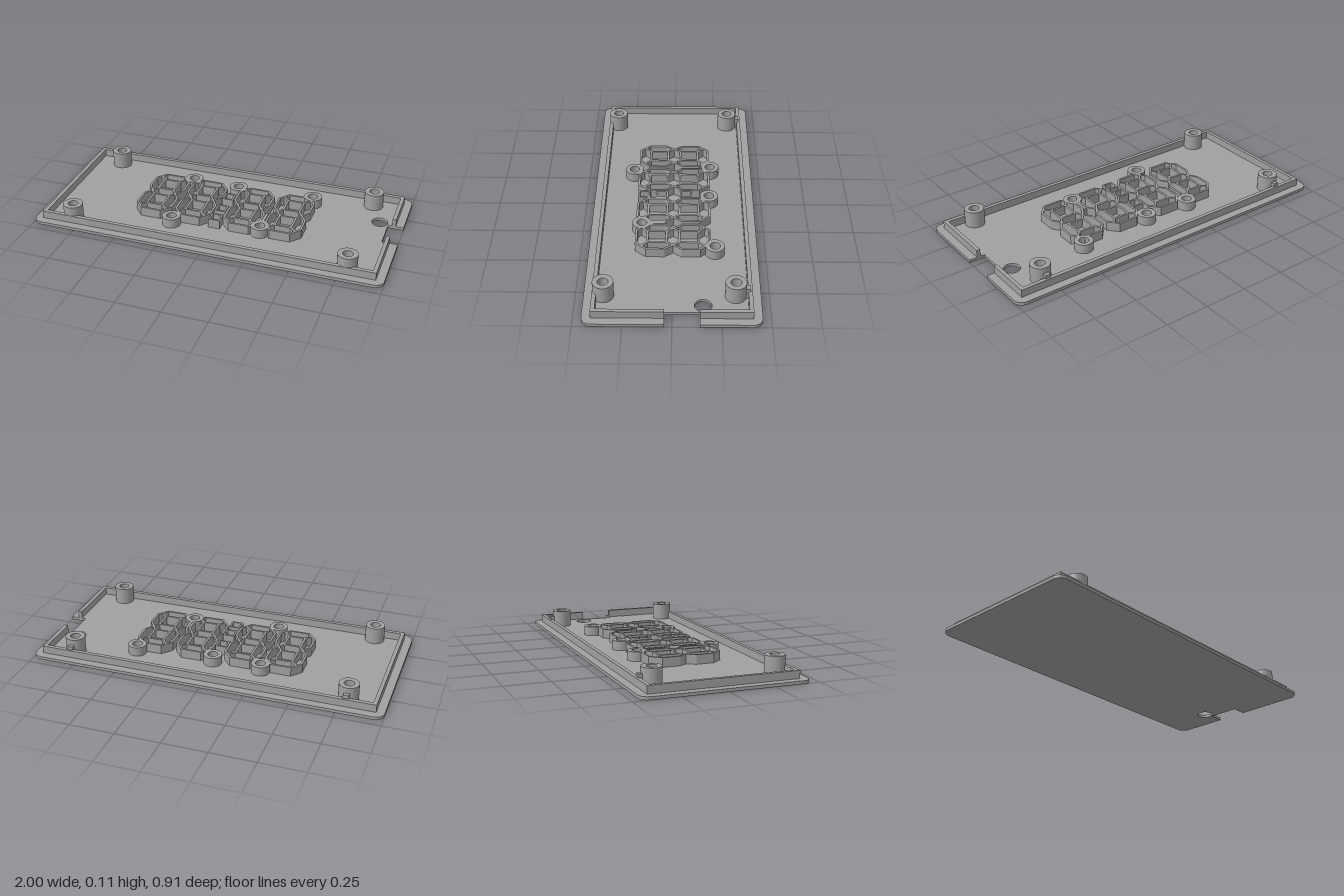
import * as THREE from 'three';

const V = (x, y) => new THREE.Vector2(x, y);
const BASE = 0.017; // top of the base plate

// Flat outline in (x, z), extruded upwards from y0 to y1
function slab(name, shape, y0, y1, material) {
  const geo = new THREE.ExtrudeGeometry(shape, { depth: y1 - y0, bevelEnabled: false, curveSegments: 16 });
  geo.rotateX(Math.PI / 2).translate(0, y1, 0);
  const mesh = new THREE.Mesh(geo, material);
  mesh.name = name;
  return mesh;
}

// Moves every edge of a polygon inwards by d (outwards if negative)
function inset(points, d) {
  const s = Math.sign(THREE.ShapeUtils.area(points));
  const n = points.length;
  const normal = (a, b) => V(a.y - b.y, b.x - a.x).normalize().multiplyScalar(s);
  return points.map((p, i) => {
    const n1 = normal(points[(i + n - 1) % n], p);
    const n2 = normal(p, points[(i + 1) % n]);
    return p.clone().addScaledVector(n1.clone().add(n2), d / (1 + n1.dot(n2)));
  });
}

function rect(x0, z0, x1, z1) {
  return [V(x0, z0), V(x1, z0), V(x1, z1), V(x0, z1)];
}

function circlePath(x, z, r) {
  return new THREE.Path().absarc(x, z, r, 0, Math.PI * 2, true);
}

function ring(name, x, z, outer, inner, top, material) {
  const shape = new THREE.Shape().absarc(x, z, outer, 0, Math.PI * 2, false);
  shape.holes.push(circlePath(x, z, inner));
  return slab(name, shape, BASE, top, material);
}

// Seven-segment light well: thin walls around each segment and both centres
function digitShape() {
  const flip = (pts, sx, sz) => pts.map((p) => V(p.x * sx, p.y * sz));
  const upperRight = [V(0.056, -0.2), V(0.102, -0.145), V(0.102, -0.048), V(0.07, 0)];
  const right = [...upperRight, ...flip(upperRight.slice(0, 3), 1, -1).reverse()];
  const outline = [...right, ...flip(right, -1, 1).reverse()];

  const top = [V(-0.079, -0.1725), V(-0.056, -0.2), V(0.056, -0.2), V(0.079, -0.1725), V(0.047, -0.14), V(-0.047, -0.14)];
  const side = [V(0.079, -0.1725), V(0.102, -0.145), V(0.102, -0.048), V(0.07, 0), V(0.047, -0.035), V(0.047, -0.14)];
  const middle = [V(-0.07, 0), V(-0.047, -0.035), V(0.047, -0.035), V(0.07, 0), V(0.047, 0.035), V(-0.047, 0.035)];
  const centre = rect(-0.047, -0.14, 0.047, -0.035);
  const cells = [middle];
  for (const sz of [1, -1]) {
    cells.push(flip(top, 1, sz), flip(centre, 1, sz), flip(side, 1, sz), flip(side, -1, sz));
  }
  const shape = new THREE.Shape(inset(outline, -0.006));
  for (const cell of cells) shape.holes.push(new THREE.Path(inset(cell, 0.006)));
  return shape;
}

export function createModel() {
  const model = new THREE.Group();
  model.name = 'displayCover';
  const grey = new THREE.MeshStandardMaterial({ color: 0xa0a0a0 });
  grey.name = 'grey plastic';

  // Base plate with rounded corners, side notch and round hole
  const X = 1, Z = 0.456, R = 0.05, N0 = -0.14, N1 = 0.04;
  const plate = new THREE.Shape();
  plate.moveTo(-X + R, -Z);
  plate.lineTo(X - R, -Z);
  plate.absarc(X - R, -Z + R, R, -Math.PI / 2, 0, false);
  plate.lineTo(X, N0);
  plate.lineTo(0.912, N0);
  plate.lineTo(0.912, N1);
  plate.lineTo(X, N1);
  plate.absarc(X - R, Z - R, R, 0, Math.PI / 2, false);
  plate.absarc(-X + R, Z - R, R, Math.PI / 2, Math.PI, false);
  plate.absarc(-X + R, -Z + R, R, Math.PI, Math.PI * 1.5, false);
  plate.holes.push(circlePath(0.861, -0.158, 0.045));
  model.add(slab('basePlate', plate, 0, BASE, grey));

  // Raised rim, open at the notch
  const ox = 0.955, oz = 0.41, ix = 0.934, iz = 0.388;
  const rim = new THREE.Shape([
    V(ox, N0), V(ox, -oz), V(-ox, -oz), V(-ox, oz), V(ox, oz), V(ox, N1),
    V(ix, N1), V(ix, iz), V(-ix, iz), V(-ix, -iz), V(ix, -iz), V(ix, N0),
  ]);
  model.add(slab('rim', rim, BASE, 0.06, grey));

  // Tall corner posts, the back pair tied to the rim by ribs
  for (const x of [-0.79, 0.79]) {
    model.add(ring('cornerPost', x, -0.325, 0.055, 0.028, 0.112, grey));
    model.add(ring('cornerPost', x, 0.354, 0.055, 0.028, 0.112, grey));
    const rib = new THREE.Shape(rect(x - 0.016, -0.4, x + 0.016, -0.374));
    model.add(slab('postRib', rib, BASE, 0.08, grey));
  }

  // Short posts around the digits
  const posts = [[-0.27, -0.21], [0.01, -0.2], [0.453, -0.226], [-0.245, 0.232], [0.256, 0.174]];
  for (const [x, z] of posts) model.add(ring('shortPost', x, z, 0.052, 0.028, 0.07, grey));
  model.add(slab('shortPostRib', new THREE.Shape(rect(0.25, 0.04, 0.266, 0.13)), BASE, 0.07, grey));

  // Four digit wells
  for (const x of [-0.383, -0.148, 0.14, 0.377]) {
    const digit = slab('digitWell', digitShape(), BASE, 0.07, grey);
    digit.position.x = x;
    model.add(digit);
  }

  // Colon and point wells
  for (const z of [-0.07, 0.066, 0.168]) {
    const outer = rect(-0.037, z - 0.035, 0.029, z + 0.035);
    const well = new THREE.Shape(outer);
    well.holes.push(new THREE.Path(inset(outer, 0.01)));
    model.add(slab('dotWell', well, BASE, 0.07, grey));
  }
  return model;
}
